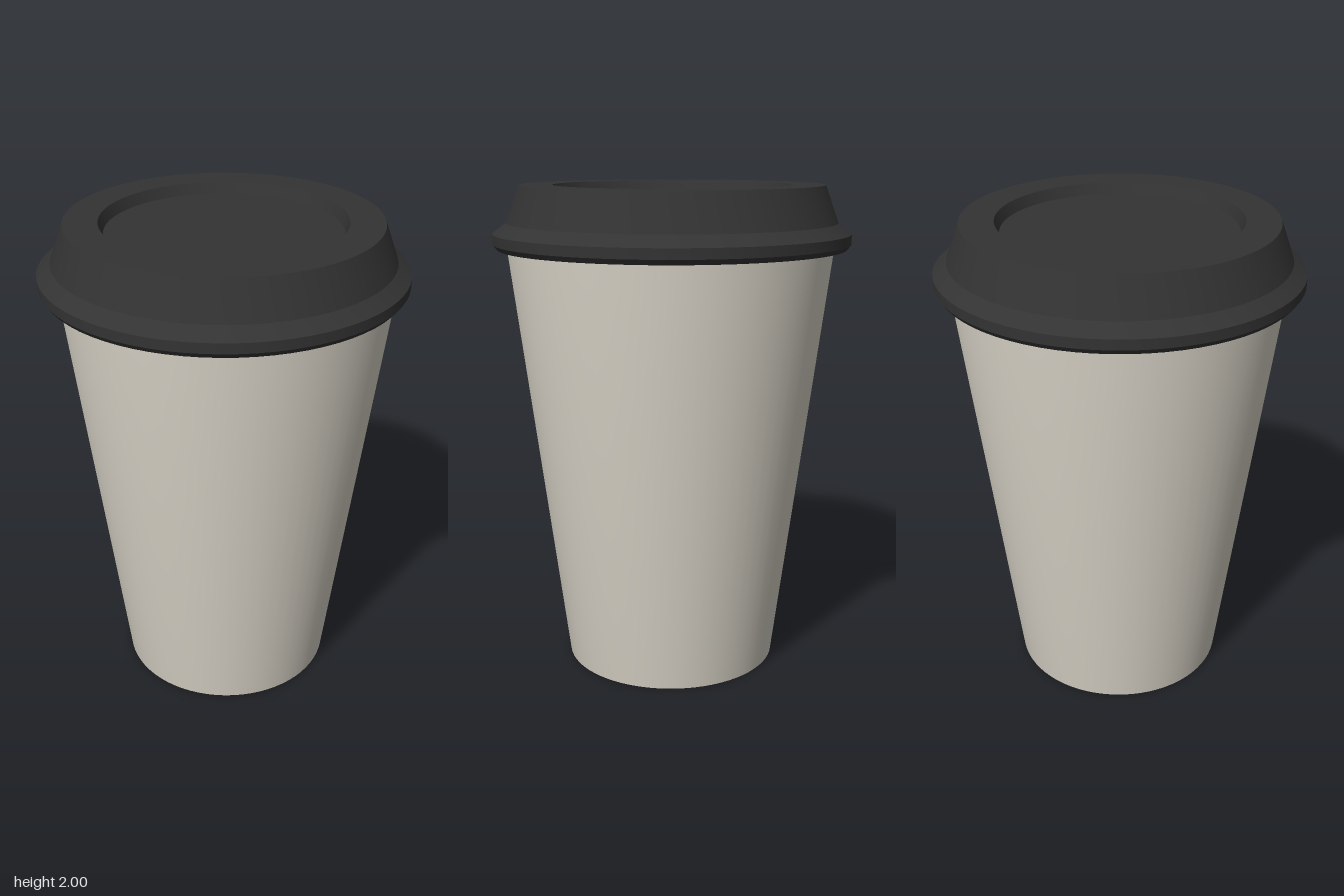
import * as THREE from 'three';
import { toCreasedNormals } from 'three/addons/utils/BufferGeometryUtils.js';

const SEGMENTS = 72;

// Revolve an [radius, height] profile; corners sharper than the crease stay crisp.
function turned(name, profile, material) {
  const points = profile.map(([r, y]) => new THREE.Vector2(r, y));
  const geometry = toCreasedNormals(new THREE.LatheGeometry(points, SEGMENTS), 0.3);
  const mesh = new THREE.Mesh(geometry, material);
  mesh.name = name;
  return mesh;
}

export function createModel() {
  const paper = new THREE.MeshStandardMaterial({ color: 0xd6d1c5 });
  paper.name = 'warm grey paper';
  const plastic = new THREE.MeshStandardMaterial({ color: 0x333333 });
  plastic.name = 'black plastic';

  const group = new THREE.Group();
  group.name = 'takeawayCup';

  // Tapered cup with a recessed base, sitting very slightly off the lid's axis
  const cup = turned('cup', [
    [0, 0.115], [0.437, 0.115], [0.424, 0],
    [0.443, 0], [0.663, 1.76], [0.663, 1.8],
  ], paper);
  cup.position.x = 0.011;

  // Lid: bevelled rim, sloping shoulder and sunken centre
  const lid = turned('lid', [
    [0.64, 1.75], [0.71, 1.75], [0.725, 1.77], [0.725, 1.81],
    [0.67, 1.852], [0.616, 2],
    [0.48, 2], [0.462, 1.956], [0, 1.956],
  ], plastic);

  group.add(cup, lid);
  return group;
}
